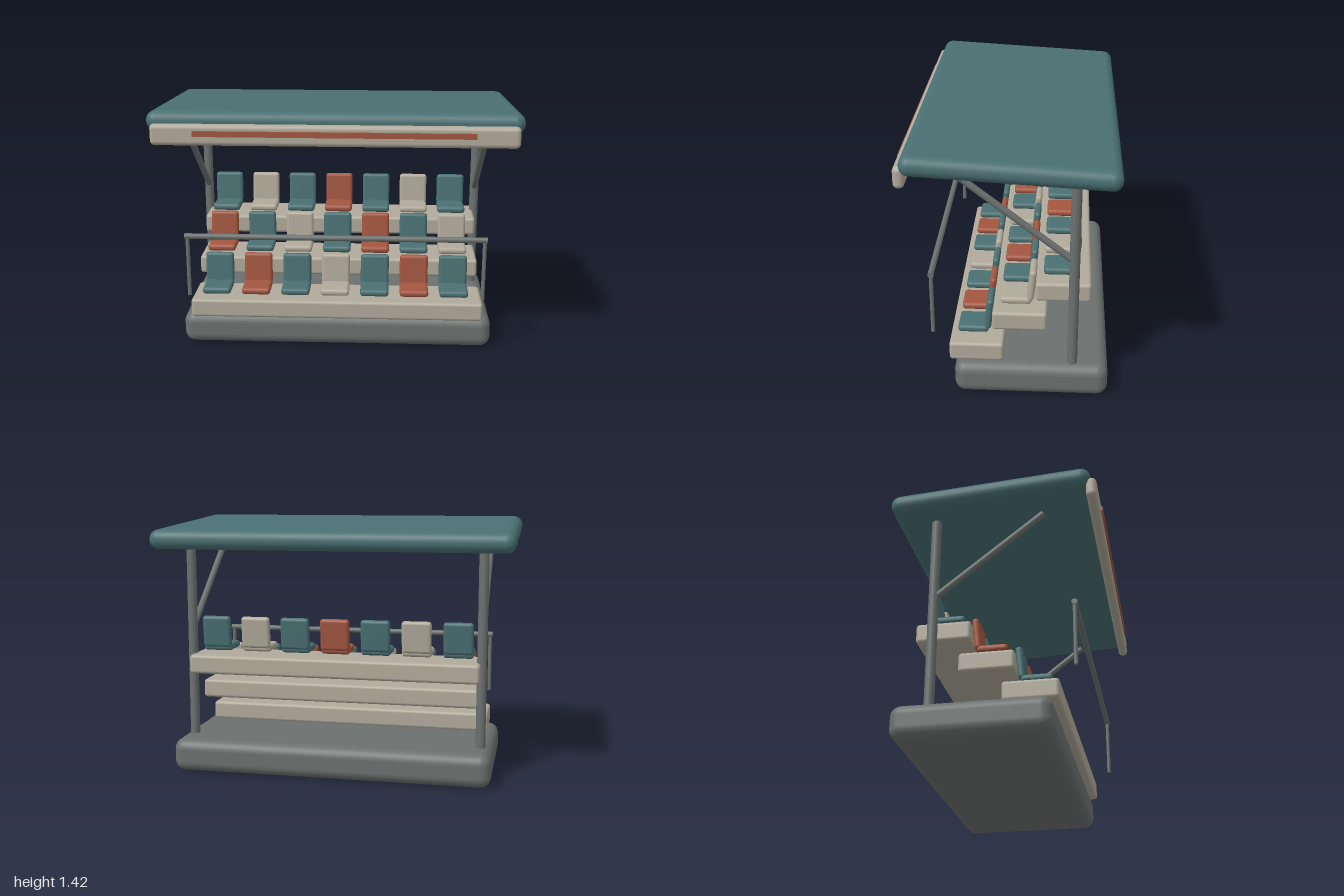
import * as THREE from 'three';
import { RoundedBoxGeometry } from 'three/addons/geometries/RoundedBoxGeometry.js';

function makeMaterial(name, color) {
  const m = new THREE.MeshStandardMaterial({ color });
  m.name = name;
  return m;
}

export function createModel() {
  const teal = makeMaterial('teal', 0x4a7073);
  const cream = makeMaterial('cream', 0xb0aa9a);
  const rust = makeMaterial('rust', 0xa35640);
  const steel = makeMaterial('steel grey', 0x6b716f);

  const model = new THREE.Group();
  model.name = 'grandstand';

  const add = (parent, name, geometry, material, x, y, z) => {
    const mesh = new THREE.Mesh(geometry, material);
    mesh.name = name;
    mesh.position.set(x, y, z);
    parent.add(mesh);
    return mesh;
  };
  const rounded = (w, h, d, r) => new RoundedBoxGeometry(w, h, d, 4, r);

  // Round bar between two points
  const bar = (name, a, b, radius) => {
    const from = new THREE.Vector3(...a), to = new THREE.Vector3(...b);
    const dir = to.clone().sub(from);
    const mid = from.clone().add(to).multiplyScalar(0.5);
    const mesh = add(model, name, new THREE.CylinderGeometry(radius, radius, dir.length(), 20), steel, mid.x, mid.y, mid.z);
    mesh.quaternion.setFromUnitVectors(new THREE.Vector3(0, 1, 0), dir.normalize());
  };

  // Base slab
  add(model, 'base', rounded(1.79, 0.185, 0.825, 0.06), steel, 0, 0.0925, -0.12);

  // Three stepped tiers, each with a row of seven seats
  const T = teal, C = cream, R = rust;
  const rows = [
    [T, R, T, C, T, R, T],
    [R, T, C, T, R, T, C],
    [T, C, T, R, T, C, T],
  ];
  const panGeometry = rounded(0.165, 0.04, 0.165, 0.018);
  const backGeometry = rounded(0.165, 0.18, 0.038, 0.018);
  rows.forEach((colours, row) => {
    const dy = row * 0.185, dz = row * -0.23;
    const halfWidth = row === 0 ? 0.84 : 0.82;
    add(model, 'tier', rounded(halfWidth * 2, 0.107, 0.292, 0.018), cream, 0, 0.234 + dy, 0.175 + dz);
    colours.forEach((colour, i) => {
      const seat = new THREE.Group();
      seat.name = 'seat';
      seat.position.set(-0.697 + i * 0.229, dy, dz);
      add(seat, 'seatPan', panGeometry, colour, 0, 0.325, 0.197);
      add(seat, 'seatBack', backGeometry, colour, 0, 0.416, 0.1125).rotation.x = -0.1;
      model.add(seat);
    });
  });

  // Rear columns, roof braces and rail posts on both sides
  for (const s of [-1, 1]) {
    bar('column', [s * 0.826, 0.15, -0.34], [s * 0.826, 1.31, -0.34], 0.027);
    bar('roofBrace', [s * 0.826, 0.8, -0.34], [s * 0.826, 1.262, 0.248], 0.018);
    bar('railPost', [s * 0.825, 0.353, 0.405], [s * 0.825, 0.705, 0.405], 0.011);
  }

  // Front hand rail
  bar('handRail', [-0.84, 0.703, 0.405], [0.84, 0.703, 0.405], 0.016);

  // Tilted roof with front fascia and painted stripe
  add(model, 'roof', rounded(2, 0.108, 1.082, 0.052), teal, 0, 1.343, -0.02).rotation.x = -0.057;
  add(model, 'fascia', rounded(1.945, 0.115, 0.057, 0.025), cream, 0, 1.307, 0.5225);
  add(model, 'fasciaStripe', new THREE.BoxGeometry(1.486, 0.03, 0.0095), rust, 0, 1.317, 0.5555);

  return model;
}
